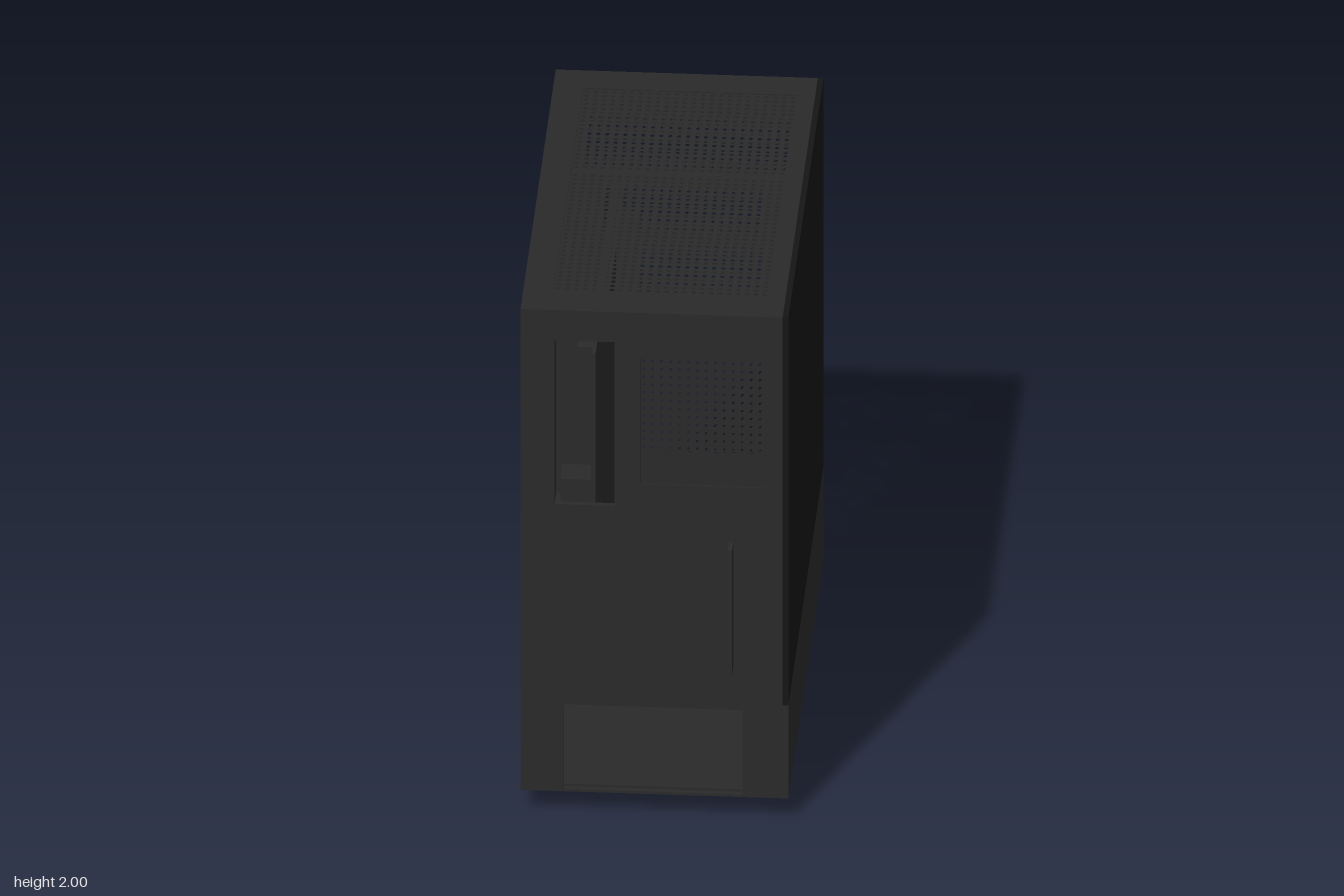
import * as THREE from 'three';
import { mergeGeometries } from 'three/addons/utils/BufferGeometryUtils.js';

const T = 0.02; // sheet thickness
const steel = new THREE.MeshStandardMaterial({ color: 0x2a2a2a });
const meshSteel = new THREE.MeshStandardMaterial({ color: 0x2a2a2a, side: THREE.DoubleSide });
const glass = new THREE.MeshStandardMaterial({ color: 0x151515 });

// Rectangles and boxes are given by their limits
function rect(target, [x0, x1, y0, y1]) {
  target.moveTo(x0, y0);
  target.lineTo(x1, y0);
  target.lineTo(x1, y1);
  target.lineTo(x0, y1);
  target.closePath();
  return target;
}

function plate(outer, holes) {
  const shape = rect(new THREE.Shape(), outer);
  for (const h of holes) shape.holes.push(rect(new THREE.Path(), h));
  return new THREE.ExtrudeGeometry(shape, { depth: T, bevelEnabled: false });
}

// Sheet of square cells, each with a hexagonal hole
function perforated([x0, x1, y0, y1], pitch = 0.031) {
  const nx = Math.round((x1 - x0) / pitch), ny = Math.round((y1 - y0) / pitch);
  const w = (x1 - x0) / nx, h = (y1 - y0) / ny;
  const shape = rect(new THREE.Shape(), [0, w, 0, h]);
  const hole = new THREE.Path();
  hole.setFromPoints(Array.from({ length: 6 }, (_, i) => {
    const a = (i * Math.PI) / 3;
    return new THREE.Vector2(w / 2 + Math.cos(a) * 0.01, h / 2 + Math.sin(a) * 0.01);
  }));
  shape.holes.push(hole);
  const cell = new THREE.ShapeGeometry(shape);
  const cells = [];
  for (let i = 0; i < nx; i++)
    for (let j = 0; j < ny; j++) cells.push(cell.clone().translate(x0 + i * w, y0 + j * h, 0));
  return mergeGeometries(cells);
}

export function createModel() {
  const model = new THREE.Group();
  model.name = 'computerCase';

  const add = (name, geometry, material = steel) => {
    const m = new THREE.Mesh(geometry, material);
    m.name = name;
    model.add(m);
    return m;
  };
  const box = (name, x0, x1, y0, y1, z0, z1, material) =>
    add(name, new THREE.BoxGeometry(x1 - x0, y1 - y0, z1 - z0), material)
      .position.set((x0 + x1) / 2, (y0 + y1) / 2, (z0 + z1) / 2);

  // Connector wall with port, fan and power supply openings
  const fan = [-0.05, 0.39, 1.32, 1.82];
  add('connectorPanel', plate([-0.45, 0.45, 0.09, 2],
    [[-0.35, -0.14, 1.23, 1.88], fan, [-0.32, 0.31, 0.1, 0.435]])).position.z = 0.84;
  add('fanGrille', perforated(fan), meshSteel).position.z = 0.855;
  box('slotCover', 0.262, 0.277, 0.6, 1.1, 0.86, 0.925);

  // Opposite wall with its tall vent
  const vent = [-0.37, 0.385, 0.5, 1.89];
  add('ventPanel', plate([-0.45, 0.45, 0.09, 2], [vent])).position.z = -0.92;
  add('ventMesh', perforated(vent), meshSteel).position.z = -0.923;

  // Roof with its long vent
  const roofVent = [-0.365, 0.39, -0.705, 0.79];
  add('roofPanel', plate([-0.45, 0.45, -0.84, 0.9], [roofVent]).rotateX(-Math.PI / 2)).position.y = 1.98;
  add('roofMesh', perforated(roofVent).rotateX(-Math.PI / 2), meshSteel).position.y = 1.995;

  // Floor and side panels
  box('floorPanel', -0.45, 0.45, 0.09, 0.11, -0.9, 0.84);
  box('rightSidePanel', -0.47, -0.45, 0.09, 2, -0.92, 0.86);
  box('lowerSidePanel', 0.45, 0.47, 0.09, 0.46, -0.92, 0.86);
  box('glassPanel', 0.45, 0.47, 0.46, 2, -0.92, 0.86, glass);

  // Interior: shroud, board tray, fan frame and brackets
  box('powerSupplyShroud', -0.45, 0.45, 0.44, 0.46, -0.66, 0.84);
  box('boardTray', -0.24, -0.225, 0.46, 1.69, -0.66, 0.6);
  box('fanFrameBar', -0.45, 0.45, 1.69, 1.735, -0.68, -0.66);
  box('fanFrameColumn', 0.27, 0.45, 0.46, 1.69, -0.68, -0.66);
  box('fanFrameColumn', -0.45, -0.28, 0.46, 1.69, -0.68, -0.66);
  box('cableCover', -0.225, -0.14, 1.25, 1.69, -0.47, -0.45);
  box('driveBracket', -0.35, -0.24, 0.9, 1.25, -0.47, -0.27);
  box('cableBracket', -0.36, -0.25, 0.9, 1.1, 0.32, 0.43);

  // Four feet
  for (const x of [-0.33, 0.35])
    for (const z of [0.585, -0.605]) box('foot', x - 0.04, x + 0.04, 0, 0.09, z - 0.105, z + 0.105);

  return model;
}
